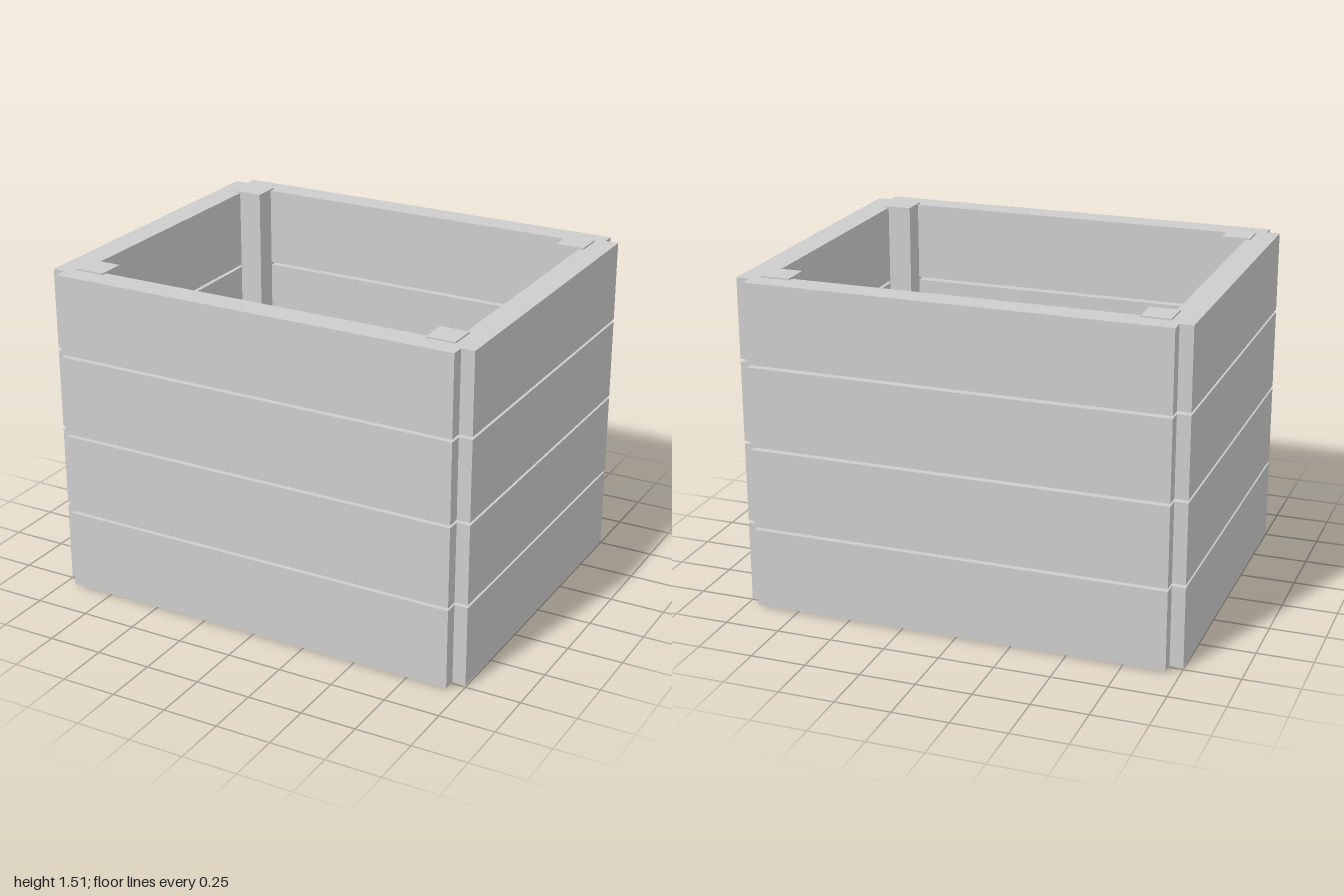
import * as THREE from 'three';

export function createModel() {
  const crate = new THREE.Group();
  crate.name = 'crate';
  const wood = new THREE.MeshStandardMaterial({ color: 0xcccccc });
  wood.name = 'pale grey wood';

  // Box given by its extents on each axis
  const board = (name, [x0, x1], [y0, y1], [z0, z1]) => {
    const mesh = new THREE.Mesh(new THREE.BoxGeometry(x1 - x0, y1 - y0, z1 - z0), wood);
    mesh.position.set((x0 + x1) / 2, (y0 + y1) / 2, (z0 + z1) / 2);
    mesh.name = name;
    crate.add(mesh);
  };

  // Four rows of wall planks, open notch at each corner
  for (let row = 0; row < 4; row++) {
    const y = [0.01 + row * 0.376, 0.373 + row * 0.376];
    board('frontPlank' + row, [-0.94, 0.94], y, [0.69, 0.81]);
    board('backPlank' + row, [-0.94, 0.94], y, [-0.81, -0.69]);
    board('leftPlank' + row, [0.88, 1], y, [-0.75, 0.75]);
    board('rightPlank' + row, [-1, -0.88], y, [-0.75, 0.75]);
  }

  // Inner corner posts, standing slightly proud of the walls
  for (const sx of [-1, 1]) {
    for (const sz of [-1, 1]) {
      const x = sx > 0 ? [0.77, 0.9] : [-0.9, -0.77];
      const z = sz > 0 ? [0.587, 0.717] : [-0.717, -0.587];
      board('cornerPost', x, [0.01, 1.508], z);
    }
  }

  // Four floor boards with narrow gaps
  for (let i = 0; i < 4; i++) {
    const x = -0.94 + i * 0.473;
    board('floorBoard' + i, [x, x + 0.461], [0, 0.12], [-0.75, 0.75]);
  }
  return crate;
}
